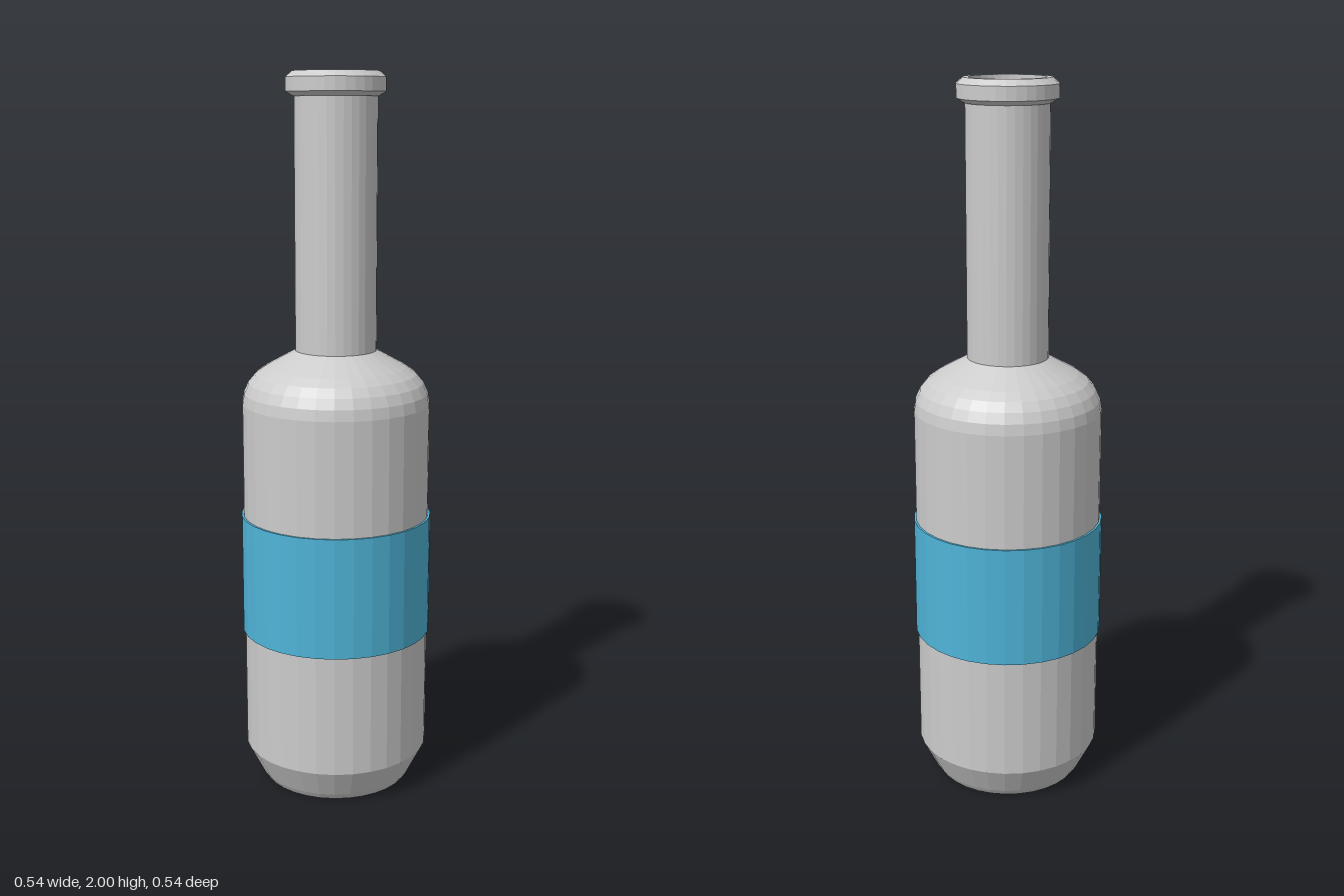
import * as THREE from 'three';

const SIDES = 32;

// Revolve a list of [radius, height] points, ordered bottom to top on the outside
function turned(name, points, material) {
  const profile = points.map(([r, y]) => new THREE.Vector2(r, y));
  const mesh = new THREE.Mesh(new THREE.LatheGeometry(profile, SIDES), material);
  mesh.name = name;
  return mesh;
}

export function createModel() {
  const bottle = new THREE.Group();
  bottle.name = 'bottle';
  const grey = new THREE.MeshStandardMaterial({ color: 0xcccccc, flatShading: true });
  const blue = new THREE.MeshStandardMaterial({ color: 0x4fb4d8, flatShading: true });

  // Body: flat base, bevelled foot, straight side, rounded shoulder
  bottle.add(turned('body', [
    [0, 0], [0.208, 0], [0.22, 0.018], [0.262, 0.1],
    [0.262, 1.105], [0.257, 1.135], [0.244, 1.163], [0.224, 1.187], [0.196, 1.207],
    [0.113, 1.253], [0, 1.253],
  ], grey));

  // Neck: hollow tube rising from the shoulder
  bottle.add(turned('neck', [
    [0.093, 1.25], [0.113, 1.25], [0.113, 1.945], [0.093, 1.945], [0.093, 1.25],
  ], grey));

  // Lip: chamfered collar with a stepped mouth
  bottle.add(turned('lip', [
    [0.093, 1.935], [0.116, 1.935], [0.136, 1.947], [0.136, 1.984], [0.118, 2],
    [0.103, 2], [0.103, 1.98], [0.093, 1.96], [0.093, 1.935],
  ], grey));

  // Label: thin band wrapped round the body
  bottle.add(turned('label', [
    [0.26, 0.445], [0.268, 0.445], [0.268, 0.785], [0.26, 0.785],
  ], blue));

  return bottle;
}
